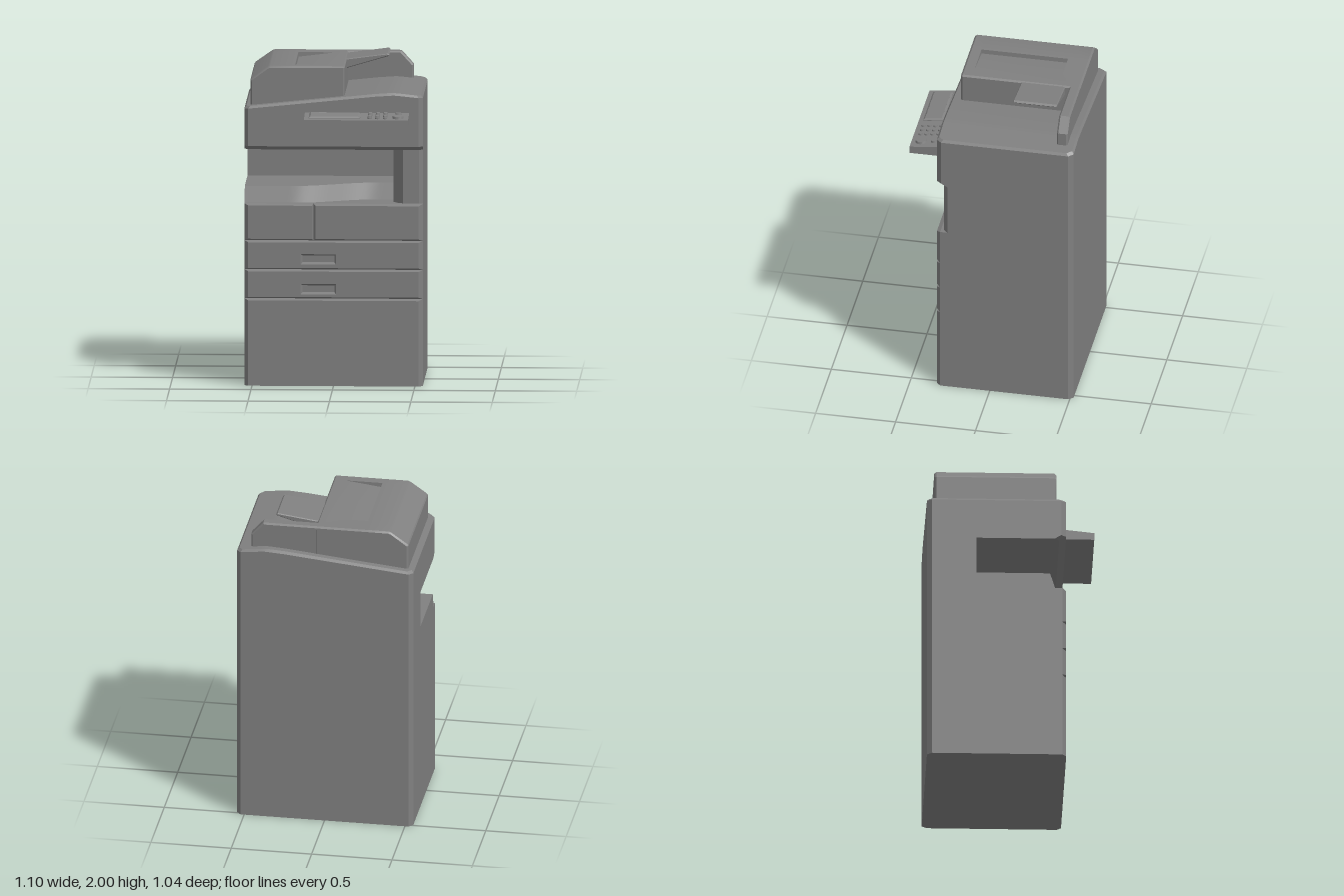
import * as THREE from 'three';
import { toCreasedNormals } from 'three/addons/utils/BufferGeometryUtils.js';

const W = 0.548, BACK = -0.52, FRONT = 0.335;
const grey = new THREE.MeshStandardMaterial({ color: 0x808080 });
grey.name = 'officeGrey';

// Joins equal-length closed rings; each end is capped by pairing its first half with its second half
function loft(rings) {
  const n = rings[0].length, pos = rings.flat(2);
  let idx = [];
  for (let r = 0; r < rings.length - 1; r++) {
    for (let i = 0; i < n; i++) {
      const a = r * n + i, b = r * n + (i + 1) % n;
      idx.push(a, b, b + n, a, b + n, a + n);
    }
  }
  const top = (rings.length - 1) * n;
  for (let i = 0; i < n / 2 - 1; i++) {
    const j = n - 1 - i;
    idx.push(i, j, j - 1, i, j - 1, i + 1);
    idx.push(top + i, top + i + 1, top + j - 1, top + i, top + j - 1, top + j);
  }
  // Turn the faces outward if the enclosed volume is negative
  const v = i => new THREE.Vector3().fromArray(pos, i * 3);
  let volume = 0;
  for (let i = 0; i < idx.length; i += 3) volume += v(idx[i]).dot(v(idx[i + 1]).cross(v(idx[i + 2])));
  if (volume < 0) idx = idx.reverse();
  const g = new THREE.BufferGeometry();
  g.setAttribute('position', new THREE.Float32BufferAttribute(pos, 3));
  g.setIndex(idx);
  return toCreasedNormals(g, 0.4);
}

const shapeOf = pts => new THREE.Shape(pts.map(p => new THREE.Vector2(p[0], p[1])));
const rect = (x0, x1, y0, y1) => [[x0, y0], [x1, y0], [x1, y1], [x0, y1]];

// Extrudes an xy outline from z0 to z1 with chamfered ends
function slab(pts, z0, z1, size, thick = size, hole) {
  const shape = shapeOf(pts);
  if (hole) shape.holes.push(new THREE.Path(hole.map(p => new THREE.Vector2(p[0], p[1]))));
  const g = new THREE.ExtrudeGeometry(shape, {
    depth: z1 - z0 - 2 * thick, bevelEnabled: true, bevelSegments: 1,
    bevelSize: size, bevelThickness: thick, bevelOffset: -size,
  });
  return g.translate(0, 0, z0 + thick);
}

// Extrudes an xz floor plan from y0 to y1
function plan(pts, y0, y1) {
  const g = new THREE.ExtrudeGeometry(shapeOf(pts.map(([x, z]) => [x, -z])), { depth: y1 - y0, bevelEnabled: false });
  return g.rotateX(-Math.PI / 2).translate(0, y0, 0);
}

// Front panel with slim horizontal chamfers and wider chamfers on the outer corners
function frontPanel(x0, x1, y0, y1, hole) {
  const g = slab(rect(x0, x1, y0, y1), 0.25, FRONT, 0.011, 0.025, hole);
  const p = g.attributes.position;
  for (let i = 0; i < p.count; i++) {
    const x = p.getX(i);
    if (p.getZ(i) > 0.33 && Math.abs(x) > 0.53) p.setX(i, Math.sign(x) * (W - 0.025));
    if (p.getY(i) < 0.02) p.setY(i, 0);
  }
  g.computeVertexNormals();
  return g;
}

// Height of the scanner lid across the width
function lidHeight(x) {
  if (x < 0.25) return 1.73 + (x + W) * 0.1;
  return THREE.MathUtils.lerp(1.81, 1.818, Math.min(1, (x - 0.25) / 0.12)) - 0.018 * Math.max(0, (x - 0.38) / 0.165);
}

function scannerRing(yOf, zFront, inset) {
  const xs = [-W, -W + 0.025, -0.2, 0.15, 0.25, 0.31, 0.37, 0.41, 0.46, W - 0.025, W];
  const last = xs.length - 1;
  const side = (z, s) => xs.map((x, i) => {
    const end = i === 0 || i === last;
    const k = 1 - inset / W;
    return [x * k, yOf(x), z - s * (inset + (end ? 0.03 : 0))];
  });
  return [...side(zFront, 1), ...side(BACK, -1).reverse()];
}

// Feeder cross-section, optionally with the sloping paper well
function feederRing(z, inset, well) {
  const top = [[-0.513, 1.885], [-0.507, 1.895], [-0.405, 1.967], [-0.39, 1.973], [-0.24, 1.973],
    [-0.238, well ? 1.945 : 1.973], [-0.01, 1.973], [0.056, 1.973], [0.066, 1.963]];
  const xy = top.map(([x, y]) => [THREE.MathUtils.clamp(x, -0.513 + inset, 0.066 - inset), y - inset]);
  return [...xy.map(([x, y]) => [x, y, z]), ...xy.map(([x]) => [x, 1.7, z]).reverse()];
}

export function createModel() {
  const model = new THREE.Group();
  model.name = 'photocopier';
  const add = (name, geometry, parent = model) => {
    const mesh = new THREE.Mesh(geometry, grey);
    mesh.name = name;
    parent.add(mesh);
    return mesh;
  };

  // Chassis and the section around the paper output bay
  const rear = [[-W, -0.49], [-W + 0.025, BACK], [W - 0.025, BACK], [W, -0.49]];
  add('chassis', plan([...rear, [W, 0.3], [-W, 0.3]], 0, 1.125));
  add('bayWalls', plan([...rear, [W, 0.265], [W - 0.025, 0.29], [0.425, 0.29], [0.365, 0.2],
    [0.365, -0.215], [-W, -0.215]], 1.125, 1.47));

  // Front panels: base, two drawers with recessed grips, and two doors
  add('basePanel', frontPanel(-W, W, 0, 0.54));
  [[0.54, 0.72, 0.6], [0.72, 0.9, 0.785]].forEach(([y0, y1, grip], i) => {
    add(i ? 'upperDrawer' : 'lowerDrawer', frontPanel(-W, W, y0, y1, rect(-0.19, 0.005, grip - 0.021, grip + 0.021)));
  });
  add('rightDoor', frontPanel(-W, -0.122, 0.9, 1.128));
  add('leftDoor', frontPanel(-0.122, W, 0.9, 1.128));

  // Output tray with a curved front edge
  const trayRing = (y, offset) => {
    const xs = Array.from({ length: 21 }, (_, i) => -W + i * 0.046);
    const front = xs.map(x => [x, y, 0.235 + offset - 0.17 * THREE.MathUtils.smoothstep(x, -0.25, 0.26)]);
    return [...front, ...xs.map(x => [x, y, -0.23]).reverse()];
  };
  add('outputTray', loft([trayRing(1.115, 0.035), trayRing(1.225, 0)]));

  // Scanner housing with a sloping, gently crowned lid
  add('scannerHousing', loft([
    scannerRing(() => 1.46, 0.292, 0),
    scannerRing(() => 1.485, FRONT, 0),
    scannerRing(x => lidHeight(x) - 0.015, FRONT, 0),
    scannerRing(lidHeight, FRONT, 0.012),
  ]));

  // Document feeder, its rear spine and the raised input tray
  add('documentFeeder', loft([
    feederRing(0.277, 0.01, false), feederRing(0.265, 0, false),
    feederRing(0.206, 0, false), feederRing(0.205, 0, true),
    feederRing(-0.334, 0, true), feederRing(-0.335, 0, false),
    feederRing(-0.46, 0, false), feederRing(-0.471, 0.01, false),
  ]));
  add('feederSpine', slab([[0, 1.72], [0.465, 1.72], [0.465, 1.89], [0.39, 1.973], [0, 1.973]], -0.47, -0.402, 0.01));
  add('feederTray', slab([[0.04, 1.902], [0.32, 1.984], [0.326, 1.99], [0.316, 2], [0.04, 1.964]], -0.376, -0.102, 0.005));

  // Control panel, a wedge projecting from the scanner front
  const wedge = new THREE.ExtrudeGeometry(
    shapeOf([[-0.3, 1.63], [-0.3, 1.697], [-0.335, 1.695], [-0.518, 1.675], [-0.518, 1.63]].reverse()),
    { depth: 0.64, bevelEnabled: false });
  add('controlPanel', wedge.rotateY(Math.PI / 2).translate(-0.175, 0, 0));

  // Screen frame and keys lie on the tilted top of the panel
  const controls = new THREE.Group();
  controls.name = 'controls';
  controls.position.set(0, 1.685, 0.4275);
  controls.rotation.x = 0.109;
  model.add(controls);
  const frame = slab(rect(-0.147, 0.169, -0.063, 0.064), -0.01, 0.013, 0.012, 0.009, rect(-0.122, 0.144, -0.04, 0.041));
  add('screenFrame', frame.rotateX(-Math.PI / 2), controls);
  const key = (name, x, z, r, h) => {
    const g = toCreasedNormals(new THREE.CylinderGeometry(r * 0.88, r, h, 20), 0.6);
    add(name, g, controls).position.set(x, h / 2 - 0.002, z - 0.4275);
  };
  for (const x of [0.228, 0.275, 0.322]) {
    for (const z of [0.362, 0.401, 0.438, 0.476]) key('numberKey', x, z, 0.014, 0.012);
  }
  key('stopKey', 0.401, 0.378, 0.019, 0.014);
  key('startKey', 0.401, 0.457, 0.036, 0.016);
  return model;
}
